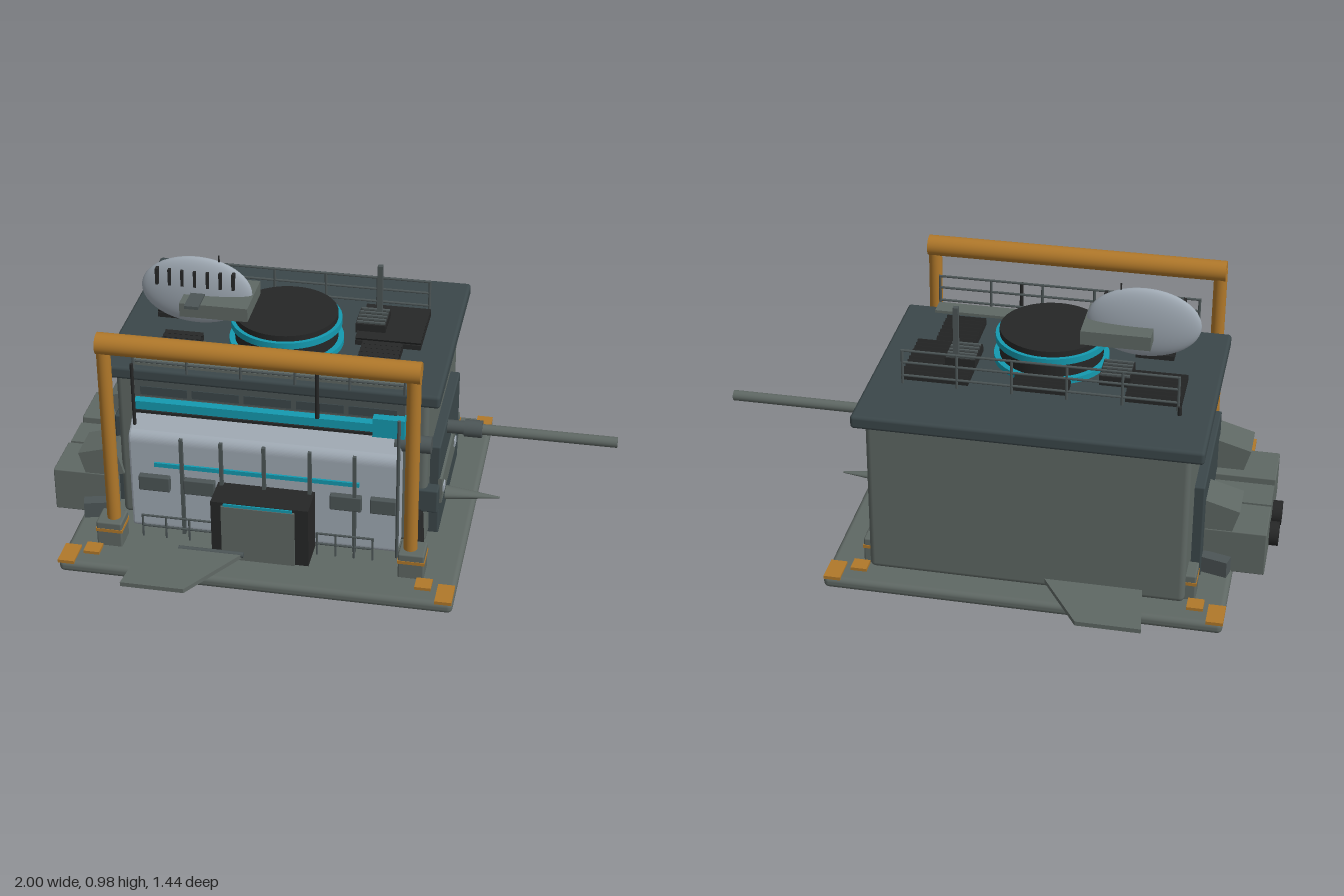
import * as THREE from 'three';
import { RoundedBoxGeometry } from 'three/addons/geometries/RoundedBoxGeometry.js';

const mat = (name, color) => {
  const m = new THREE.MeshStandardMaterial({ color });
  m.name = name;
  return m;
};

export function createModel() {
  const model = new THREE.Group();
  model.name = 'fortifiedStation';
  const grey = mat('hull grey', 0x5f6864);
  const slate = mat('dark slate', 0x3b474a);
  const pale = mat('pale panel', 0xa0aab4);
  const orange = mat('orange', 0xb0782a);
  const teal = mat('teal', 0x149ab0);
  const black = mat('black', 0x262727);
  const steel = mat('steel', 0x4c5556);

  const add = (name, geo, m, x = 0, y = 0, z = 0) => {
    const mesh = new THREE.Mesh(geo, m);
    mesh.name = name;
    mesh.position.set(x, y, z);
    model.add(mesh);
    return mesh;
  };
  // Boxes are given by their limits on each axis
  const box = (name, m, x0, x1, y0, y1, z0, z1, r = 0) => add(name,
    r ? new RoundedBoxGeometry(x1 - x0, y1 - y0, z1 - z0, 3, r) : new THREE.BoxGeometry(x1 - x0, y1 - y0, z1 - z0),
    m, (x0 + x1) / 2, (y0 + y1) / 2, (z0 + z1) / 2);
  const post = (name, m, x, z, y0, y1, r, n = 24, rTop = r) =>
    add(name, new THREE.CylinderGeometry(rTop, r, y1 - y0, n), m, x, (y0 + y1) / 2, z);
  // Bar along x; r1 is the radius at the x1 end
  const bar = (name, m, x0, x1, y, z, r, n = 24, r1 = r) => {
    const b = add(name, new THREE.CylinderGeometry(r, r1, x1 - x0, n), m, (x0 + x1) / 2, y, z);
    b.rotation.z = Math.PI / 2;
    return b;
  };

  // Base plate and hull
  box('basePlate', grey, -0.86, 0.51, 0.012, 0.055, -0.6, 0.6, 0.018);
  box('hull', grey, -0.72, 0.37, 0.05, 0.64, -0.5, 0.26, 0.02);
  box('roof', slate, -0.765, 0.41, 0.622, 0.67, -0.535, 0.29, 0.012);
  box('rightPlate', slate, 0.35, 0.405, 0.05, 0.41, -0.33, 0.19, 0.006);
  box('leftPlate', slate, -0.755, -0.7, 0.05, 0.41, -0.33, 0.19, 0.006);
  for (const z of [-0.1, 0.1]) {
    const skid = bar('underSkid', steel, -0.85, -0.4, 0.016, z, 0.03, 16);
    skid.scale.x = 0.5;
  }

  // Tapered side fins on the base
  for (const s of [1, -1]) {
    const fin = new THREE.Shape([[-0.605, 0.72], [-0.385, 0.72], [-0.23, 0.48], [-0.575, 0.48]]
      .map(([x, z]) => new THREE.Vector2(x, -s * z)));
    const g = new THREE.ExtrudeGeometry(fin, { depth: 0.016, bevelEnabled: false });
    add('sideFin', g.rotateX(-Math.PI / 2), grey, 0, 0.071, 0);
  }

  // Corner sockets with orange bands and clamps
  for (const [x, sx] of [[-0.71, -1], [0.35, 1]]) {
    for (const s of [1, -1]) {
      const z = s * 0.432;
      box('cornerSocket', grey, x - 0.045, x + 0.045, 0.05, 0.15, z - 0.045, z + 0.045, 0.006);
      box('socketBand', orange, x - 0.047, x + 0.047, 0.112, 0.124, z - 0.047, z + 0.047);
      const cx = sx > 0 ? 0.478 : -0.833;
      box('outerClamp', orange, cx - 0.029, cx + 0.029, 0.05, 0.062, s * 0.55 - 0.05, s * 0.55 + 0.05);
      const ix = x + sx * 0.05;
      box('innerClamp', orange, ix - 0.028, ix + 0.028, 0.05, 0.066, s * 0.51 - 0.028, s * 0.51 + 0.028);
    }
    post('gantryPost', orange, x - (x > 0 ? 0.008 : -0.008), 0.432, 0.14, 0.85, 0.024);
  }
  bar('gantryBeam', orange, -0.722, 0.365, 0.843, 0.432, 0.037, 32);

  // Pale front housing with a sloping top
  const side = new THREE.Shape();
  side.moveTo(-0.24, 0.06);
  side.lineTo(-0.33, 0.06);
  side.quadraticCurveTo(-0.35, 0.06, -0.35, 0.08);
  side.lineTo(-0.35, 0.41);
  side.quadraticCurveTo(-0.35, 0.44, -0.325, 0.45);
  side.lineTo(-0.28, 0.49);
  side.lineTo(-0.24, 0.49);
  const housing = new THREE.ExtrudeGeometry(side, { depth: 0.93, bevelSize: 0.008, bevelThickness: 0.008, bevelOffset: -0.008, bevelSegments: 2 });
  add('frontHousing', housing.rotateY(Math.PI / 2), pale, -0.653, 0, 0);
  box('housingStrip', teal, -0.57, 0.15, 0.323, 0.339, 0.345, 0.358);
  for (const x of [-0.47, -0.33, -0.18, -0.02, 0.135])
    box('housingRib', steel, x - 0.006, x + 0.006, 0.06, 0.45, 0.356, 0.37);
  for (const x of [-0.57, -0.41, 0.105, 0.245])
    box('equipmentBox', steel, x - 0.055, x + (x > 0.2 ? 0.035 : 0.055), 0.23, 0.288, 0.345, 0.372, 0.004);

  // Bands and shuttered windows above the housing
  box('bandShadow', black, -0.65, 0.25, 0.492, 0.502, 0.25, 0.285);
  box('tealBand', teal, -0.65, 0.29, 0.511, 0.543, 0.25, 0.292);
  box('tealEndBox', teal, 0.185, 0.295, 0.5, 0.572, 0.25, 0.305);
  box('windowFrame', steel, -0.65, 0.29, 0.552, 0.615, 0.25, 0.27);
  for (let i = 0; i < 5; i++)
    box('window', slate, -0.63 + i * 0.182, -0.465 + i * 0.182, 0.56, 0.592, 0.265, 0.273);
  bar('sidePipe', steel, 0.26, 0.385, 0.47, 0.275, 0.03);
  post('tallMast', black, -0.645, 0.31, 0.42, 0.7, 0.006, 10);
  post('frontMast', steel, 0.285, 0.365, 0.055, 0.61, 0.006, 10);
  post('centreMast', black, -0.005, 0.3, 0.55, 0.79, 0.007, 10);

  // Gate block at the front
  box('gateFrame', black, -0.345, -0.005, 0.05, 0.282, 0.34, 0.472);
  box('gate', grey, -0.308, -0.052, 0.05, 0.27, 0.46, 0.48);
  box('gateStrip', teal, -0.3, -0.06, 0.27, 0.28, 0.468, 0.477);

  // Low front railings
  for (const [x0, x1] of [[-0.61, -0.36], [0.01, 0.205]]) {
    for (const y of [0.1, 0.142]) bar('lowRail', steel, x0, x1, y, 0.395, 0.004, 8);
    for (let i = 0; i < 4; i++) post('lowRailPost', steel, x0 + (x1 - x0) * i / 3, 0.395, 0.05, 0.145, 0.004, 8);
  }
  bar('frontPipe', steel, -0.46, -0.23, 0.082, 0.485, 0.01, 12);
  for (const z of [0.255, 0.295]) post('fuelTank', black, 0.335, z, 0.055, 0.2, 0.03, 20, 0.024);
  box('meterBox', slate, 0.33, 0.41, 0.19, 0.28, 0.22, 0.27, 0.006);

  // Barrel, spike and hatch on the right end
  bar('barrelRoot', steel, 0.39, 0.47, 0.38, 0, 0.024);
  bar('barrelCollar', steel, 0.465, 0.528, 0.38, 0, 0.031);
  bar('barrel', grey, 0.5, 1.0, 0.38, 0, 0.019);
  bar('spike', grey, 0.39, 0.6, 0.1, 0, 0.036, 24, 0.004).scale.x = 0.65;
  box('hatchPlate', grey, 0.4, 0.414, 0.18, 0.28, -0.172, 0.19);
  for (const z of [-0.142, 0.152]) box('hatchLamp', pale, 0.412, 0.419, 0.216, 0.242, z - 0.018, z + 0.018);

  // Drive units on the left end
  for (const s of [1, -1]) {
    box('driveBox', grey, -0.968, -0.75, 0.045, 0.21, s * 0.18 - 0.092, s * 0.18 + 0.092, 0.004);
    bar('exhaust', black, -1.0, -0.86, 0.087, s * 0.068, 0.043);
    const brace = box('slopedBrace', grey, -0.86, -0.72, 0.2, 0.31, s * 0.2 - 0.07, s * 0.2 + 0.07);
    brace.rotation.z = 0.28;
    box('braceFoot', steel, -0.85, -0.74, 0.06, 0.12, s * 0.3 - 0.022, s * 0.3 + 0.022).rotation.y = s * 0.25;
  }
  box('centreDrive', grey, -0.966, -0.75, 0.1, 0.2, -0.065, 0.065);

  // Turret drum with teal rings
  const tx = -0.17;
  post('turretFootRing', teal, tx, 0, 0.668, 0.69, 0.2, 64);
  post('turretDrum', black, tx, 0, 0.68, 0.786, 0.18, 64);
  post('turretRing', teal, tx, 0, 0.742, 0.765, 0.194, 64);
  box('turretBlock', grey, -0.525, -0.285, 0.785, 0.836, -0.105, 0.105);
  box('turretArm', steel, -0.5, -0.45, 0.833, 0.844, 0.02, 0.135);

  // Slim oval dish with dark ribs on its front
  const dish = add('dish', new THREE.SphereGeometry(1, 40, 24), pale, -0.487, 0.838, 0);
  dish.scale.set(0.197, 0.128, 0.038);
  for (let i = 0; i < 7; i++) {
    const x = -0.62 + i * 0.045;
    box('dishRib', black, x - 0.005, x + 0.005, 0.865, 0.925, 0.015, 0.038);
  }
  post('dishAerial', black, -0.405, 0, 0.93, 0.977, 0.003, 8);

  // Slatted roof vents
  for (const [x0, x1, z0, z1] of [[-0.655, -0.465, -0.26, -0.08], [-0.27, -0.08, -0.26, -0.19],
    [0.07, 0.3, -0.26, -0.01], [-0.59, -0.455, 0.05, 0.185], [0.1, 0.24, 0, 0.185]]) {
    box('ventBase', black, x0, x1, 0.665, 0.688, z0, z1);
    const n = Math.round((z1 - z0) / 0.025);
    for (let i = 0; i < n; i++) {
      const z = z0 + (z1 - z0) * (i + 0.5) / n;
      box('ventSlat', black, x0, x1, 0.685, 0.7, z - 0.008, z + 0.008).rotation.x = 0.4;
    }
  }
  for (const [x, z] of [[-0.42, -0.14], [0.115, -0.12]]) {
    box('raisedVent', black, x - 0.053, x + 0.053, 0.69, 0.725, z - 0.06, z + 0.06);
    for (let i = 0; i < 5; i++) box('raisedSlat', steel, x - 0.05, x + 0.05, 0.725, 0.731, z - 0.054 + i * 0.024, z - 0.044 + i * 0.024);
  }
  box('roofAerial', steel, 0.124, 0.142, 0.67, 0.91, -0.165, -0.147);
  post('cornerAerial', black, -0.655, -0.31, 0.665, 0.7, 0.007, 10);

  // Roof walkway and railings on both long sides
  box('walkway', grey, -0.65, 0.295, 0.682, 0.692, 0.215, 0.282);
  for (const z of [0.285, -0.282]) {
    for (const y of [0.7, 0.75, 0.795]) bar('roofRail', steel, -0.65, 0.295, y, z, 0.0045, 8);
    for (let i = 0; i < 6; i++) post('roofRailPost', steel, -0.646 + i * 0.1874, z, 0.665, 0.797, 0.005, 8);
  }
  return model;
}
